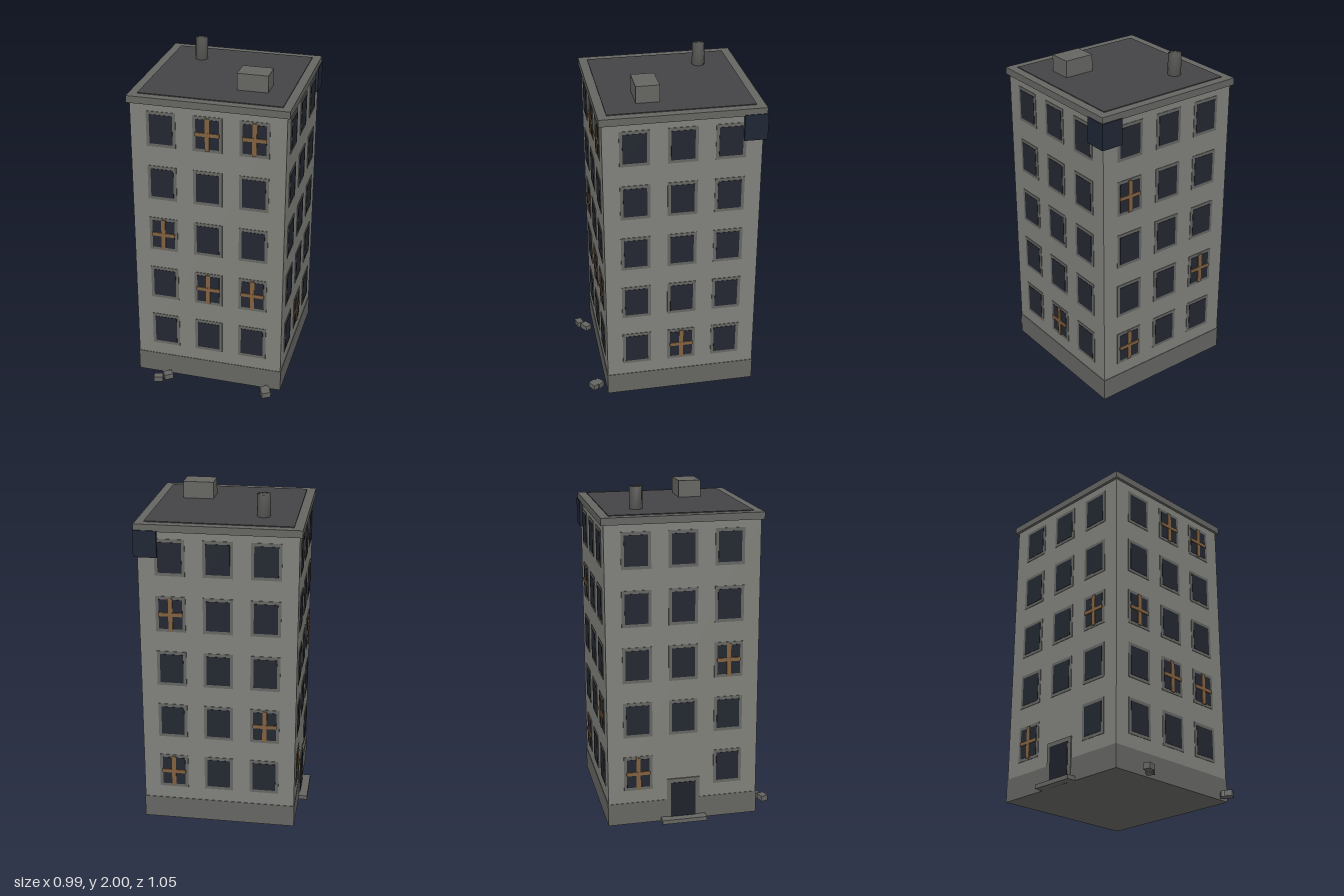
import * as THREE from 'three';
import { mergeVertices } from 'three/addons/utils/BufferGeometryUtils.js';

const mat = (color) => new THREE.MeshStandardMaterial({ color });
const M = {
  wall: mat(0x80807b), trim: mat(0x656562), roof: mat(0x444446), glass: mat(0x232730),
  wood: mat(0x80603f), door: mat(0x1e222a), sign: mat(0x1f2634), metal: mat(0x555553),
};

const CX = 0.016, CZ = -0.053; // middle of the tower
const HALF = 0.455;            // half the wall width
const COLS = 3, ROWS = 5, COL_STEP = 0.273, ROW_STEP = 0.337, FIRST_ROW = 0.325;

function box(parent, name, material, w, h, d, x, y, z) {
  const mesh = new THREE.Mesh(new THREE.BoxGeometry(w, h, d), material);
  mesh.name = name;
  mesh.position.set(x, y, z);
  parent.add(mesh);
  return mesh;
}

// Window facing +z, with its back at the wall plane z = 0
function makeWindow(boarded) {
  const g = new THREE.Group();
  g.name = 'window';
  box(g, 'windowFrame', M.trim, 0.173, 0.215, 0.016, 0, 0, -0.005);
  box(g, 'windowPane', M.glass, 0.137, 0.178, 0.018, 0, 0, -0.004);
  if (boarded) {
    box(g, 'uprightBoard', M.wood, 0.025, 0.196, 0.006, 0, 0, 0.007);
    box(g, 'crossBoard', M.wood, 0.142, 0.022, 0.006, 0, 0, 0.008);
  }
  return g;
}

// Facade facing +z; boarded lists 'row,column' with columns from its left
function makeFacade(name, angle, boarded, hasDoor) {
  const outer = new THREE.Group();
  outer.name = name;
  outer.position.set(CX, 0, CZ);
  outer.rotation.y = angle;
  const g = new THREE.Group();
  g.position.z = HALF;
  outer.add(g);
  for (let r = 0; r < ROWS; r++) {
    for (let c = 0; c < COLS; c++) {
      if (hasDoor && r === 0 && c === 1) continue;
      const w = makeWindow(boarded.includes(`${r},${c}`));
      w.position.set((c - 1) * COL_STEP, FIRST_ROW + r * ROW_STEP, 0);
      g.add(w);
    }
  }
  if (hasDoor) {
    box(g, 'doorFrame', M.trim, 0.2, 0.27, 0.02, 0, 0.135, -0.003);
    box(g, 'door', M.door, 0.15, 0.245, 0.02, 0, 0.1225, 0);
    box(g, 'doorStep', M.trim, 0.273, 0.025, 0.062, 0, 0.0125, 0.026);
  }
  return outer;
}

export function createModel() {
  const model = new THREE.Group();
  model.name = 'apartmentTower';

  // Main block
  box(model, 'walls', M.wall, HALF * 2, 1.7, HALF * 2, CX, 0.98, CZ);
  box(model, 'plinth', M.trim, 0.916, 0.137, 0.916, CX, 0.0685, CZ);
  box(model, 'cornice', M.trim, 0.942, 0.042, 0.942, CX, 1.844, CZ);
  box(model, 'roofDeck', M.roof, 0.84, 0.03, 0.84, CX + 0.001, 1.855, CZ);

  // Facades
  model.add(makeFacade('frontFacade', 0, ['4,1', '4,2', '2,0', '1,1', '1,2'], false));
  model.add(makeFacade('leftFacade', Math.PI / 2, ['0,1'], false));
  model.add(makeFacade('backFacade', Math.PI, ['3,0', '1,2', '0,0'], false));
  model.add(makeFacade('rightFacade', -Math.PI / 2, ['2,2', '0,0'], true));

  // Corner sign
  box(model, 'cornerSign', M.sign, 0.134, 0.155, 0.134, 0.424, 1.7525, -0.463);

  // Roof details
  box(model, 'roofVent', M.trim, 0.182, 0.11, 0.136, 0.22, 1.915, 0.117);
  let pipe = new THREE.CylinderGeometry(0.039, 0.039, 0.14, 8);
  pipe.deleteAttribute('normal');
  pipe.deleteAttribute('uv');
  pipe = mergeVertices(pipe);
  pipe.computeVertexNormals();
  const chimney = new THREE.Mesh(pipe, M.metal);
  chimney.name = 'chimney';
  chimney.position.set(-0.212, 1.93, -0.281);
  model.add(chimney);

  // Rubble at the foot: x, z, turn, width, depth
  for (const [x, z, turn, w, d] of [
    [-0.237, 0.457, 0.62, 0.056, 0.045], [-0.287, 0.497, 0.26, 0.056, 0.043],
    [0.39, 0.454, 0.8, 0.05, 0.045], [0.398, 0.481, 0.52, 0.056, 0.046],
  ]) {
    box(model, 'rubble', M.trim, w, 0.035, d, x, 0.0175, z).rotation.y = turn;
  }
  return model;
}
